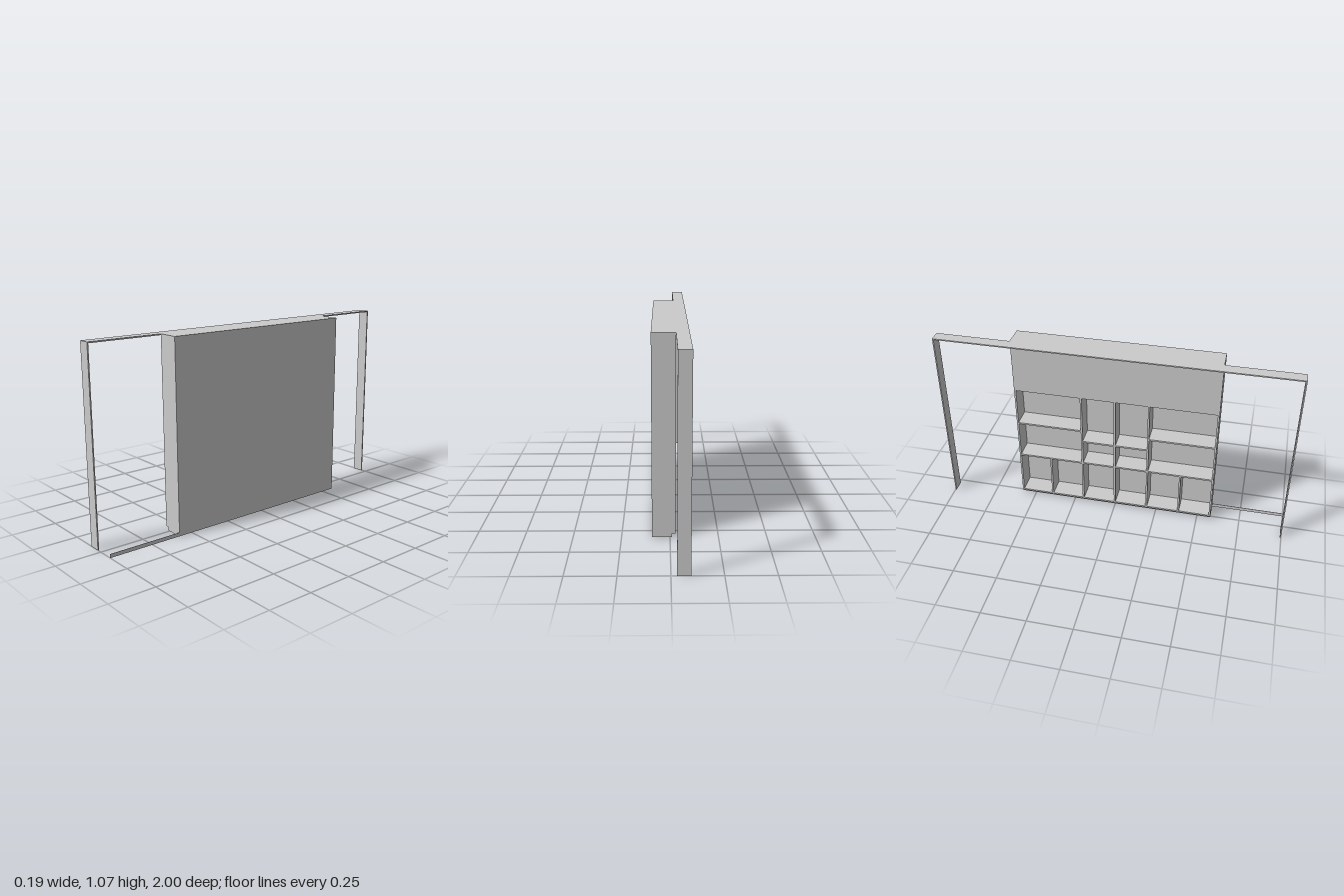
import * as THREE from 'three';

export function createModel() {
  const model = new THREE.Group();
  const material = new THREE.MeshStandardMaterial({ color: 0xcccccc, flatShading: true });

  // Box given by its lower and upper limits on each axis
  function box(name, x0, x1, y0, y1, z0, z1) {
    const mesh = new THREE.Mesh(new THREE.BoxGeometry(x1 - x0, y1 - y0, z1 - z0), material);
    mesh.position.set((x0 + x1) / 2, (y0 + y1) / 2, (z0 + z1) / 2);
    mesh.name = name;
    model.add(mesh);
  }

  const height = 1.067, halfWidth = 0.58;
  const open = -0.029, back = 0.093, inner = 0.083; // cabinet depth along x
  const board = 0.01, frame = 0.007;
  const rowLow = 0.3, rowMid = 0.455, rowHigh = 0.53, cellTop = 0.75, floor = 0.021;

  // Thin portal frame: two posts and a beam
  for (const s of [-1, 1]) {
    const a = s, b = s * (1 - frame);
    box('framePost', -0.095, open, 0, height, Math.min(a, b), Math.max(a, b));
  }
  box('frameBeam', -0.095, open, height - frame, height, -1 + frame, 1 - frame);

  // Cabinet shell with a recessed plinth
  box('backPanel', inner, back, 0, height, -halfWidth, halfWidth);
  box('plinth', -0.01, inner, 0, floor, -halfWidth, halfWidth);
  box('bottomBoard', open, inner, floor, floor + board, -halfWidth, halfWidth);
  box('upperFascia', open, inner, cellTop, height, -halfWidth, halfWidth);
  for (const s of [-1, 1]) {
    const a = s * halfWidth, b = s * (halfWidth - board);
    box('sidePanel', open, inner, floor + board, cellTop, Math.min(a, b), Math.max(a, b));
  }

  // Dividers: six columns below, four above
  const column = (i) => -halfWidth + (i * halfWidth) / 3;
  for (let i = 1; i < 6; i++) {
    const top = i === 1 || i === 5 ? rowLow - board : cellTop;
    box('divider', open, inner, floor + board, top, column(i) - board / 2, column(i) + board / 2);
  }

  // Shelves: one full width, higher ones in the wide bays, lower ones in the narrow bays
  const shelf = (y, from, to) =>
    box('shelf', open, inner, y - board, y, column(from) + board / 2, column(to) - board / 2);
  shelf(rowLow, 0, 6);
  shelf(rowHigh, 0, 2);
  shelf(rowMid, 2, 3);
  shelf(rowMid, 3, 4);
  shelf(rowHigh, 4, 6);

  // Skirting strip running on from one end of the cabinet
  box('skirtingStrip', back - 0.002, back, 0, 0.021, halfWidth, 1);

  return model;
}
